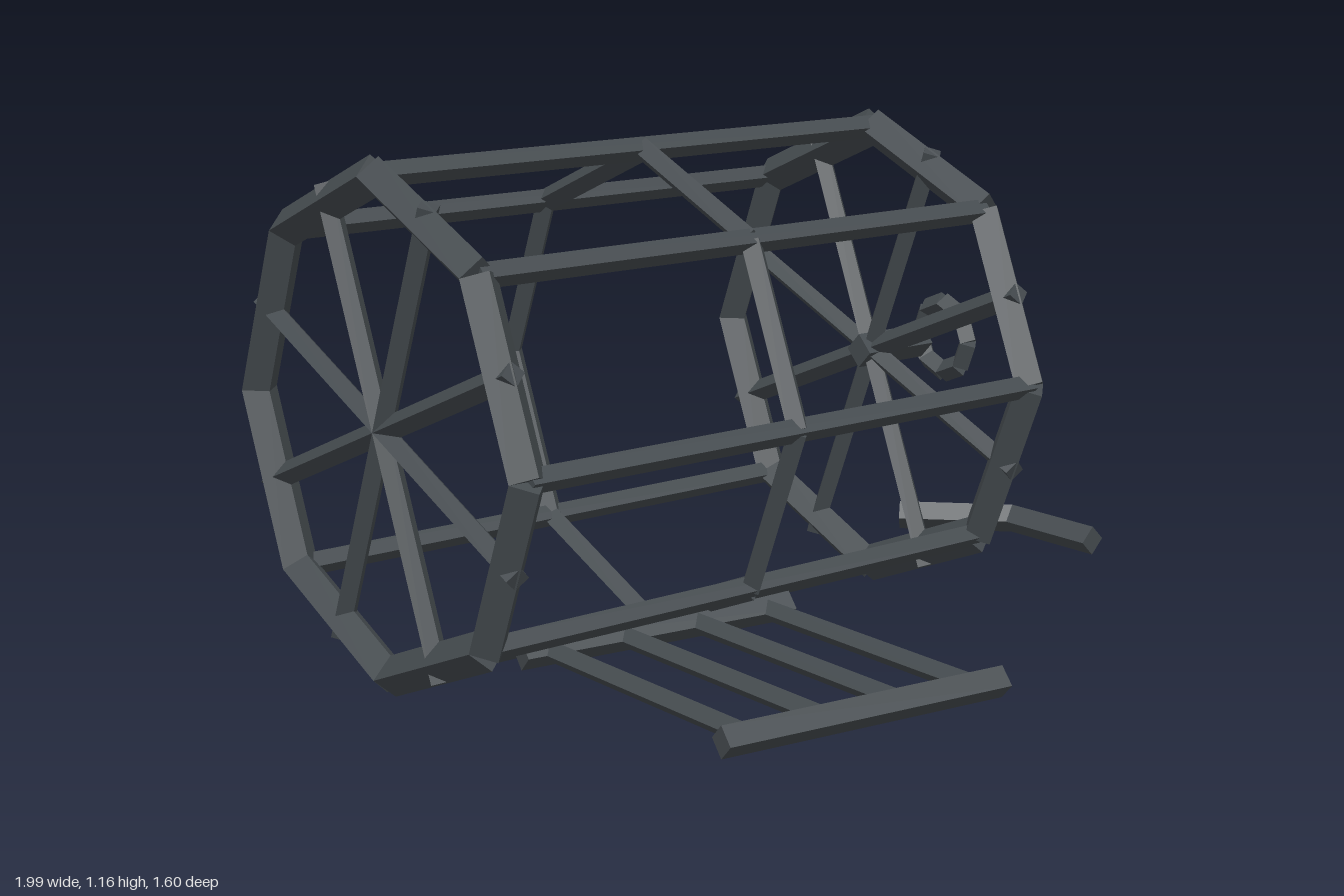
import * as THREE from 'three';

const iron = new THREE.MeshStandardMaterial({ color: 0x454b4f });
iron.name = 'dark iron';

const V = (x, y, z) => new THREE.Vector3(x, y, z);

// Square bar from a to b, with one of its edges pointing along `edge`
function bar(parent, name, a, b, r, edge) {
  const dir = b.clone().sub(a);
  const indexed = new THREE.CylinderGeometry(r, r, dir.length(), 4);
  const geometry = indexed.toNonIndexed();
  geometry.computeVertexNormals();
  const y = dir.normalize();
  const x = y.clone().cross(edge).normalize();
  const z = x.clone().cross(y);
  const mesh = new THREE.Mesh(geometry, iron);
  mesh.name = name;
  mesh.quaternion.setFromRotationMatrix(new THREE.Matrix4().makeBasis(x, y, z));
  mesh.position.copy(a).add(b).multiplyScalar(0.5);
  parent.add(mesh);
  return mesh;
}

// Point on a circle around the x axis, counted in eighths of a turn
function onCircle(x, radius, eighth) {
  const t = (eighth * Math.PI) / 4;
  return V(x, radius * Math.sin(t), radius * Math.cos(t));
}

const AXIS = V(1, 0, 0);
const UP = V(0, 1, 0);

// Eight-sided hoop of straight bars
function hoop(name, x, radius, r) {
  const group = new THREE.Group();
  group.name = name;
  for (let i = 0; i < 8; i++) {
    bar(group, 'hoopBar', onCircle(x, radius, i), onCircle(x, radius, i + 1), r, AXIS);
  }
  return group;
}

export function createModel() {
  const model = new THREE.Group();
  model.name = 'brokenDrumFrame';

  const R = 0.5415;
  const half = 0.683;
  const turn = THREE.MathUtils.degToRad(7);

  // Drum cage
  const drum = new THREE.Group();
  drum.name = 'drum';
  drum.position.set(-0.2125, 0.589, -0.143);
  drum.rotation.y = turn;
  model.add(drum);

  drum.add(hoop('middleHoop', 0, R, 0.028));
  for (const side of [-1, 1]) {
    const wheel = new THREE.Group();
    wheel.name = side > 0 ? 'leftWheel' : 'rightWheel';
    wheel.add(hoop('endHoop', side * half, R, 0.044));
    for (let i = 0; i < 8; i++) {
      bar(wheel, 'spoke', V(side * half, 0, 0), onCircle(side * half, R, i + 0.5), 0.027, AXIS);
    }
    drum.add(wheel);
  }

  // Long rails at the corners, with the rear one missing
  for (let i = 0; i < 8; i++) {
    if (i === 4) continue;
    bar(drum, 'rail', onCircle(-half, R, i), onCircle(half, R, i), 0.027, UP);
  }

  // Axle stub
  bar(drum, 'axleStub', V(half - 0.04, 0, 0), V(half + 0.165, 0, 0), 0.041, UP);

  // Loose collar beside the axle
  const collar = hoop('collar', 0, 0.087, 0.027);
  collar.position.set(0.706, 0.587, -0.257);
  collar.rotation.y = turn;
  model.add(collar);

  // Crank handle on the ground
  const crank = new THREE.Group();
  crank.name = 'crankHandle';
  const y = 0.094;
  const elbow = V(0.915, y, -0.235);
  bar(crank, 'crankArm', V(0.69, y, -0.415), elbow, 0.036, UP);
  bar(crank, 'crankGrip', elbow, V(0.957, y, 0.037), 0.036, UP);
  model.add(crank);

  // Fallen ladder
  const ladder = new THREE.Group();
  ladder.name = 'ladder';
  bar(ladder, 'ladderRail', V(-0.65, y, 0.083), V(0.03, y, 0.083), 0.035, UP);
  bar(ladder, 'ladderRail', V(-0.56, y, 0.763), V(0.122, y, 0.763), 0.035, UP);
  for (let i = 0; i < 4; i++) {
    const x = -0.585 + i * 0.184;
    bar(ladder, 'rung', V(x, y, 0.083), V(x + 0.09, y, 0.763), 0.025, UP);
  }
  model.add(ladder);

  return model;
}
